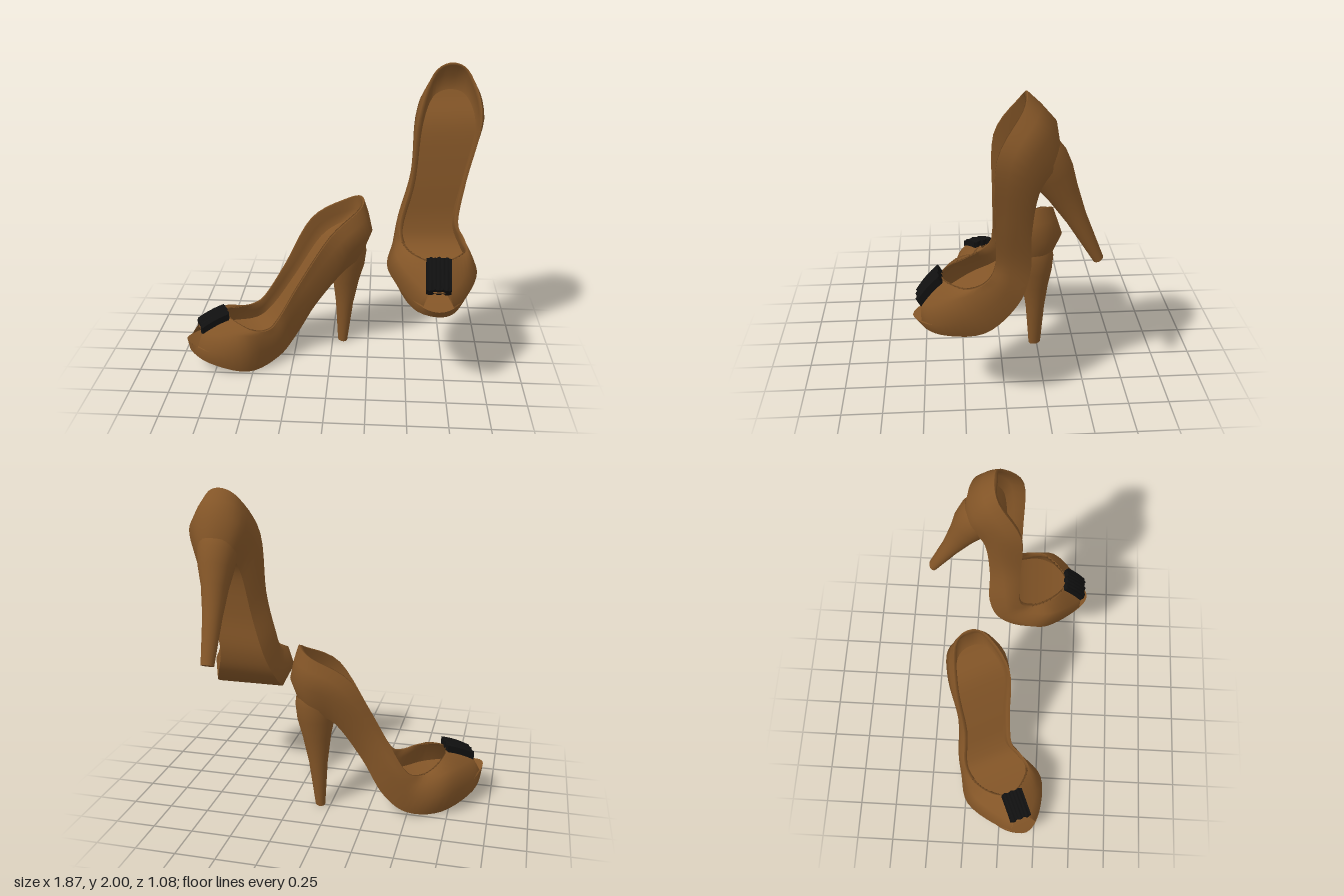
import * as THREE from 'three';

const leather = new THREE.MeshStandardMaterial({ color: 0x835527, side: THREE.DoubleSide });
leather.name = 'brown leather';
const black = new THREE.MeshStandardMaterial({ color: 0x101010 });
black.name = 'black ribbon';

const SUB = 5; // columns between two stations

// Stations run from heel back to toe tip; each row is [z, y, left x, right x]
const SOLE = [
  [-1.04, 0.73, 0.06, 0.06], [-0.98, 0.68, 0.15, -0.04], [-0.83, 0.60, 0.19, -0.08],
  [-0.67, 0.37, 0.13, -0.13], [-0.55, 0.15, 0.09, -0.20], [-0.40, 0.03, 0.14, -0.25],
  [-0.17, 0.005, 0.21, -0.24], [0.07, 0.075, 0.13, -0.14], [0.168, 0.14, 0.01, 0.01],
];
const SIDE = [
  [-1.085, 0.86, 0.06, 0.06], [-1.03, 0.86, 0.20, -0.09], [-0.86, 0.78, 0.265, -0.155],
  [-0.66, 0.52, 0.18, -0.17], [-0.50, 0.28, 0.12, -0.24], [-0.38, 0.15, 0.17, -0.27],
  [-0.16, 0.16, 0.25, -0.30], [0.07, 0.17, 0.15, -0.15], [0.18, 0.21, 0.005, 0.005],
];
const UPPER = [
  [-1.06, 0.98, 0.06, 0.06], [-1.0, 0.96, 0.19, -0.07], [-0.80, 0.85, 0.25, -0.15],
  [-0.60, 0.55, 0.17, -0.175], [-0.46, 0.31, 0.13, -0.24], [-0.35, 0.22, 0.17, -0.25],
  [-0.15, 0.28, 0.21, -0.24], [0.05, 0.27, 0.10, -0.10], [0.10, 0.295, 0, 0],
];
const RIM = [
  [-1.03, 1.075, 0.06, 0.06], [-0.97, 1.03, 0.17, -0.06], [-0.74, 0.89, 0.235, -0.14],
  [-0.55, 0.56, 0.165, -0.165], [-0.42, 0.32, 0.13, -0.225], [-0.33, 0.265, 0.17, -0.23],
  [-0.22, 0.285, 0.18, -0.19], [-0.12, 0.33, 0.09, -0.11], [-0.08, 0.345, -0.01, -0.01],
];
const FLOOR = [
  [-0.99, 0.90, 0.06, 0.06], [-0.95, 0.87, 0.16, -0.05], [-0.80, 0.76, 0.21, -0.11],
  [-0.62, 0.49, 0.145, -0.14], [-0.48, 0.25, 0.10, -0.21], [-0.36, 0.14, 0.155, -0.25],
  [-0.15, 0.13, 0.23, -0.28], [0.07, 0.17, 0.15, -0.15], [0.18, 0.21, 0.005, 0.005],
];
const TOE = SOLE.length - 1;

// Offset a row table inwards by the leather thickness
const inset = (rows, dy) => rows.map(([z, y, l, r], i) => {
  if (i === 0) return [z + 0.025, y + dy, l, r];
  if (i === TOE) return [z - 0.012, y + dy, l, r];
  return [z, y + dy, l - 0.022, r + 0.022];
});

// Smooth closed loop: heel, left side, toe, right side
function ring(rows) {
  const left = rows.map(([z, y, l]) => new THREE.Vector3(l, y, z));
  const right = rows.slice(1, -1).reverse().map(([z, y, , r]) => new THREE.Vector3(r, y, z));
  const curve = new THREE.CatmullRomCurve3([...left, ...right], true, 'catmullrom', 0.5);
  const n = TOE * 2 * SUB;
  return Array.from({ length: n }, (_, j) => curve.getPoint(j / n));
}

function meshGeometry(points, index) {
  const g = new THREE.BufferGeometry().setFromPoints(points);
  g.setIndex(index);
  g.computeVertexNormals();
  return g;
}

// Skin between successive loops; skip(k, j) leaves a hole
function loft(rings, skip = () => false) {
  const n = rings[0].length, index = [];
  for (let k = 0; k < rings.length - 1; k++) {
    for (let j = 0; j < n; j++) {
      if (skip(k, j)) continue;
      const a = k * n + j, b = k * n + (j + 1) % n;
      index.push(a, a + n, b, b, a + n, b + n);
    }
  }
  return meshGeometry(rings.flat(), index);
}

// Fill a loop with strips from its left to its right side
function cap(loop, up) {
  const n = loop.length, index = [];
  for (let j = 0; j < n / 2; j++) {
    const l0 = j, l1 = j + 1, r0 = (n - j) % n, r1 = n - j - 1;
    const tris = [[r0, r1, l0], [r1, l1, l0]];
    for (const [a, b, c] of tris) {
      if (new Set([a, b, c]).size === 3) index.push(...(up ? [a, b, c] : [a, c, b]));
    }
  }
  return meshGeometry(loop, index);
}

// Tapered heel: [y, centre x, centre z, half width, half depth]
function heelLoops() {
  const rows = [
    [0, 0.02, -0.91, 0.042, 0.031], [0.3, 0.028, -0.92, 0.062, 0.06],
    [0.48, 0.036, -0.927, 0.085, 0.09], [0.6, 0.045, -0.93, 0.112, 0.118],
    [0.7, 0.05, -0.93, 0.125, 0.128], [0.75, 0.055, -0.93, 0.12, 0.12],
  ];
  return rows.map(([y, x, z, rx, rz]) => Array.from({ length: 24 }, (_, j) => {
    const a = j / 24 * Math.PI * 2;
    return new THREE.Vector3(x + rx * Math.sin(a), y, z - rz * Math.cos(a));
  }));
}

// Gathered ribbon slab bent over the vamp
function bowGeometry() {
  const g = new THREE.BoxGeometry(0.148, 0.045, 0.185, 24, 1, 10);
  const p = g.attributes.position;
  for (let i = 0; i < p.count; i++) {
    const x = p.getX(i), z = p.getZ(i);
    const bend = 0.337 - 0.38 * z - 0.9 * z * z - 1.5 * x * x;
    p.setY(i, p.getY(i) + bend + 0.003 * Math.cos(x * 260));
    p.setZ(i, z * (1 + 0.04 * Math.cos(x * 130)));
  }
  g.computeVertexNormals();
  return g;
}

function createShoe() {
  const shoe = new THREE.Group();
  const add = (name, geometry, material = leather) => {
    const m = new THREE.Mesh(geometry, material);
    m.name = name;
    shoe.add(m);
  };
  const sole = ring(SOLE), floor = ring(FLOOR), rim = ring(RIM);
  const toeColumn = TOE * SUB;
  const atToe = (j) => Math.abs(j + 0.5 - toeColumn) < 0.6 * SUB;

  // Outer shell with the open toe
  add('upper', loft([sole, ring(SIDE), ring(UPPER), rim], (k, j) => k === 1 && atToe(j)));
  add('lining', loft([rim, ring(inset(RIM, 0)), ring(inset(UPPER, -0.012)), floor],
    (k, j) => k === 2 && atToe(j)));
  add('insole', cap(floor, true));
  add('sole', cap(sole, false));

  const loops = heelLoops();
  add('heel', loft(loops));
  add('heelTip', cap(loops[0], false));
  add('bow', bowGeometry(), black);
  return shoe;
}

export function createModel() {
  const group = new THREE.Group();
  group.name = 'pairOfShoes';

  // Shoe standing on the ground
  const standing = createShoe();
  standing.name = 'standingShoe';
  standing.position.set(-0.77, 0, 0.115);
  standing.rotation.y = -1.152;

  // Raised shoe tipped toe-down
  const raised = createShoe();
  raised.name = 'raisedShoe';
  raised.position.set(0.667, 0.558, 0.28);
  raised.rotation.x = 0.506;

  group.add(standing, raised);
  return group;
}
